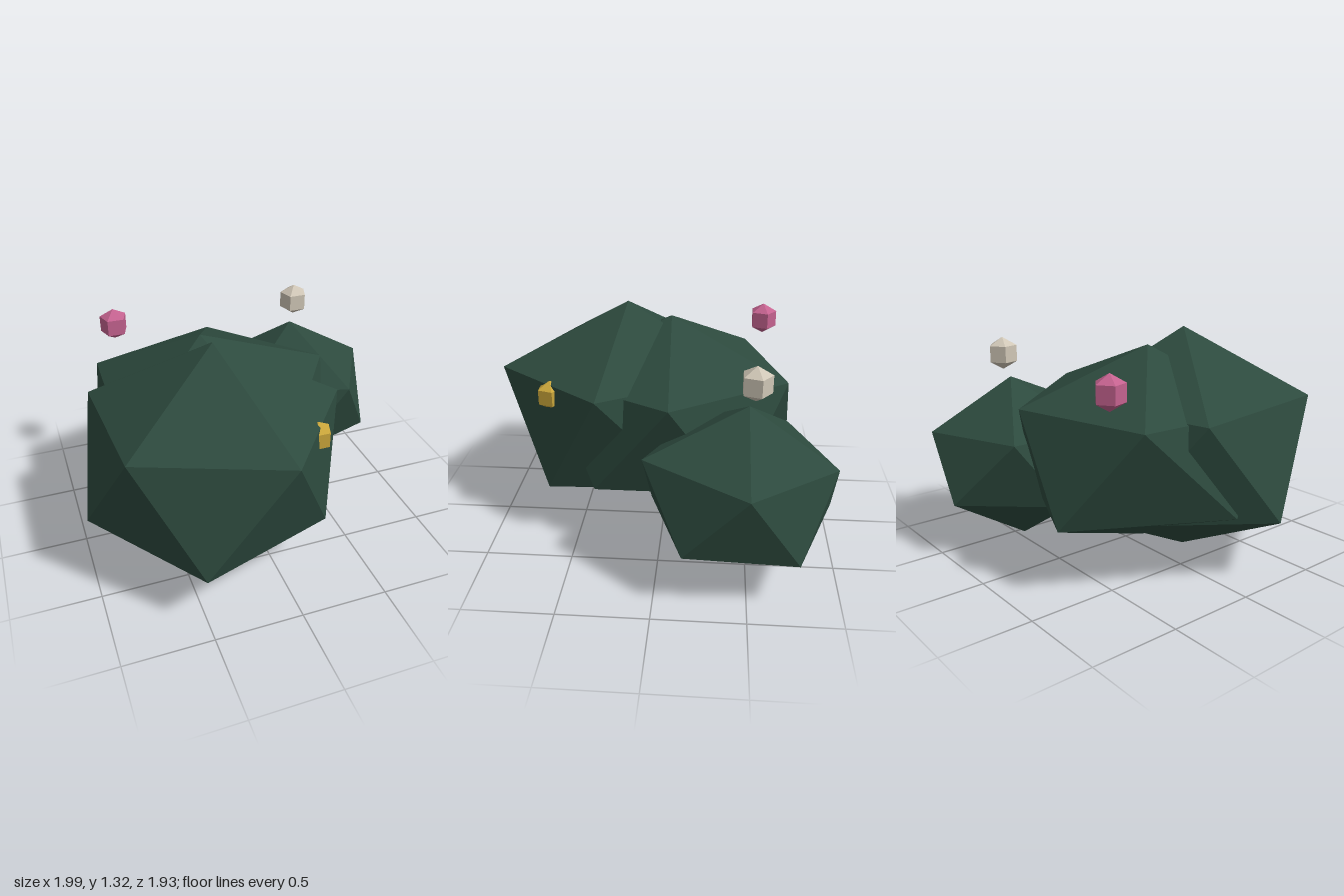
import * as THREE from 'three';
import { ConvexGeometry } from 'three/addons/geometries/ConvexGeometry.js';

const leaf = new THREE.MeshStandardMaterial({ color: 0x2d4a3e, flatShading: true });

// Each clump is an uneven icosahedron: top, upper ring, lower ring, bottom
const clumps = {
  frontClump: [
    [-0.24, 1.32, 0.23],
    [0.45, 0.96, 0.34], [-0.04, 0.96, 0.96], [-0.82, 0.96, 0.65], [-0.86, 0.92, -0.17], [-0.05, 0.95, -0.46],
    [0.27, 0.33, 0.66], [-0.51, 0.35, 0.93], [-1.0, 0.35, 0.25], [-0.51, 0.36, -0.46], [0.27, 0.36, -0.15],
    [-0.29, 0.0, 0.21],
  ],
  middleClump: [
    [-0.23, 1.24, -0.03],
    [0.53, 0.96, -0.06], [0.03, 0.92, 0.68], [-0.77, 0.91, 0.39], [-0.75, 0.92, -0.49], [0.02, 0.93, -0.72],
    [0.38, 0.39, 0.37], [-0.41, 0.39, 0.66], [-0.88, 0.39, 0.04], [-0.41, 0.38, -0.775], [0.38, 0.39, -0.43],
    [-0.155, 0.07, 0.0],
  ],
  backClump: [
    [0.505, 1.0, -0.48],
    [0.99, 0.717, -0.487], [0.68, 0.76, 0.065], [0.07, 0.71, -0.18], [0.07, 0.71, -0.727], [0.63, 0.71, -0.95],
    [0.917, 0.33, -0.155], [0.36, 0.347, 0.044], [-0.04, 0.32, -0.46], [0.355, 0.337, -0.97], [0.877, 0.28, -0.763],
    [0.44, 0.01, -0.465],
  ],
};

// Little five-sided blossoms: name, colour, centre, radius
const blossoms = [
  ['pinkBlossom', 0xc4628f, [-0.607, 1.115, -0.59], 0.095],
  ['creamBlossom', 0xcfc6b6, [0.537, 1.14, -0.508], 0.096],
  ['yellowBlossom', 0xc9a53a, [0.2, 0.893, 0.63], 0.086],
];

export function createModel() {
  const bush = new THREE.Group();
  bush.name = 'bush';

  for (const [name, corners] of Object.entries(clumps)) {
    const points = corners.map((c) => new THREE.Vector3(...c));
    const mesh = new THREE.Mesh(new ConvexGeometry(points), leaf);
    mesh.name = name;
    bush.add(mesh);
  }

  for (const [name, color, centre, radius] of blossoms) {
    const mesh = new THREE.Mesh(
      new THREE.SphereGeometry(radius, 5, 3),
      new THREE.MeshStandardMaterial({ color, flatShading: true }),
    );
    mesh.name = name;
    mesh.position.set(...centre);
    mesh.rotation.y = -Math.PI / 2; // one corner points to the back
    bush.add(mesh);
  }
  return bush;
}
